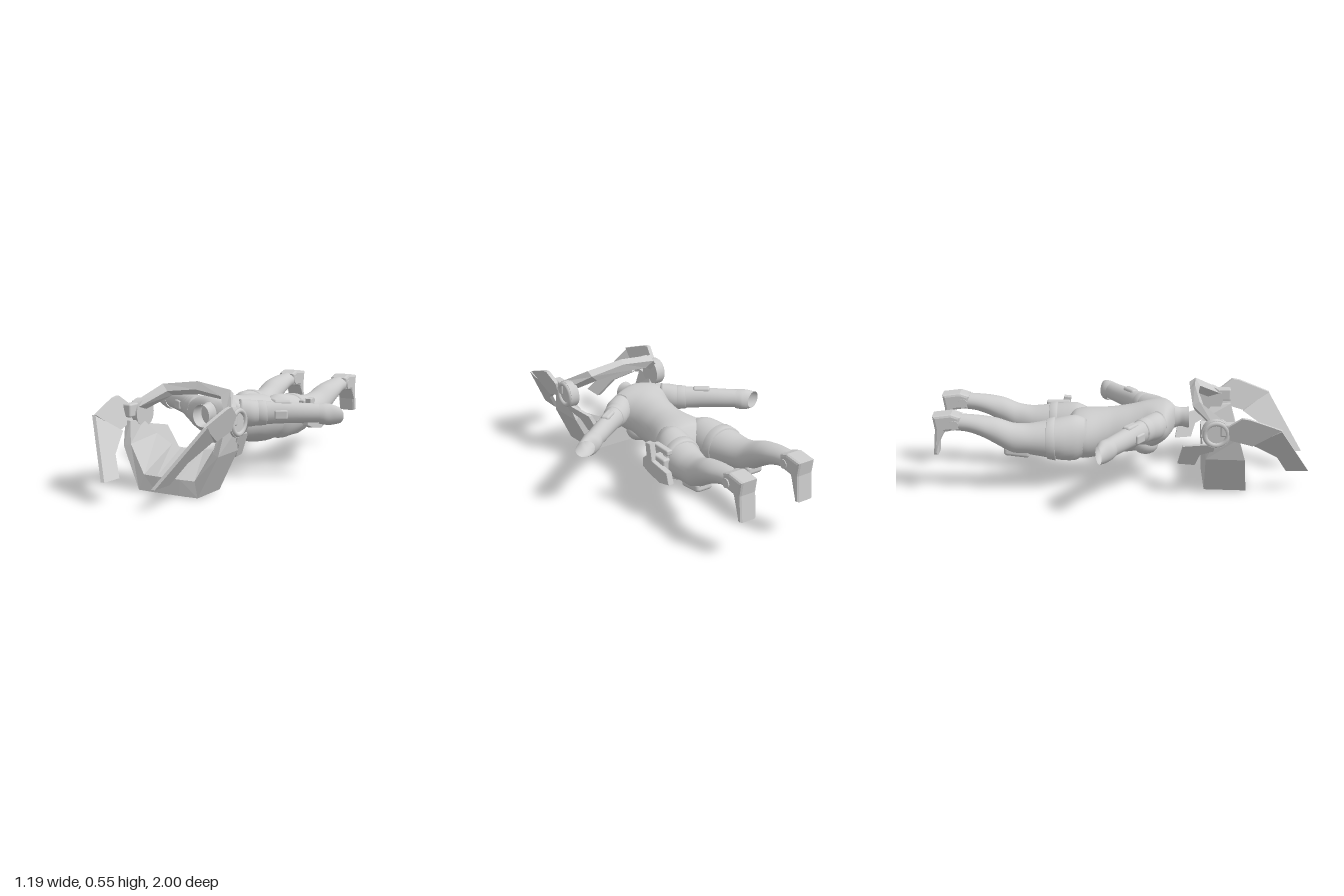
import * as THREE from 'three';
import { RoundedBoxGeometry } from 'three/addons/geometries/RoundedBoxGeometry.js';

const grey = new THREE.MeshStandardMaterial({ color: 0xcccccc, side: THREE.DoubleSide });
grey.name = 'plain grey';

const DOWN_BODY = new THREE.Vector3(0, 0, -1);
const ARM = new THREE.Vector3(0.817, 0, -0.577).normalize();

// Skin a list of rings; flat gives faceted normals
function skin(rings, { capStart = true, capEnd = true, flat = false } = {}) {
  const n = rings[0].length, pos = [], idx = [];
  rings.forEach(r => r.forEach(p => pos.push(...p)));
  for (let i = 0; i < rings.length - 1; i++) {
    for (let j = 0; j < n; j++) {
      const a = i * n + j, b = i * n + (j + 1) % n, c = a + n, d = b + n;
      idx.push(a, c, b, b, c, d);
    }
  }
  const last = (rings.length - 1) * n;
  for (let j = 1; j < n - 1; j++) {
    if (capStart) idx.push(0, j, j + 1);
    if (capEnd) idx.push(last, last + j + 1, last + j);
  }
  let g = new THREE.BufferGeometry();
  g.setAttribute('position', new THREE.Float32BufferAttribute(pos, 3));
  g.setIndex(idx);
  if (flat) g = g.toNonIndexed();
  g.computeVertexNormals();
  return g;
}

// Smooth limb from sections [x, y, z, halfWidth, halfHeight, skew]
function limb(sections, dir, { steps = 4, sides = 28, ...caps } = {}) {
  const u = new THREE.Vector3(-dir.z, 0, dir.x);
  const centre = new THREE.CatmullRomCurve3(sections.map(s => new THREE.Vector3(s[0], s[1], s[2])), false, 'catmullrom', 0.4);
  const size = new THREE.CatmullRomCurve3(sections.map(s => new THREE.Vector3(s[3], s[4], s[5] || 0)), false, 'catmullrom', 0.4);
  const count = (sections.length - 1) * steps, rings = [];
  for (let i = 0; i <= count; i++) {
    const c = centre.getPoint(i / count), s = size.getPoint(i / count), ring = [];
    for (let j = 0; j < sides; j++) {
      const a = j / sides * Math.PI * 2;
      const p = c.clone().addScaledVector(u, s.x * Math.cos(a)).addScaledVector(dir, s.z * Math.cos(a));
      ring.push([p.x, p.y + s.y * Math.sin(a), p.z]);
    }
    rings.push(ring);
  }
  return skin(rings, caps);
}

// Section from [z, centreX, halfWidth, bottom, top]
const span = ([z, x, w, b, t]) => [x, (b + t) / 2, z, w, (t - b) / 2];

// Side profile of [z, y] points, extruded across x and sheared by a rule
function panel(points, thick, xAt, bevel = 0) {
  const shape = new THREE.Shape(points.map(([z, y]) => new THREE.Vector2(-z, y)));
  const g = new THREE.ExtrudeGeometry(shape, {
    depth: thick, bevelEnabled: bevel > 0, bevelSize: bevel, bevelThickness: bevel, bevelOffset: -bevel, bevelSegments: 2,
  });
  const p = g.attributes.position;
  for (let i = 0; i < p.count; i++) {
    const z = -p.getX(i), y = p.getY(i);
    p.setXYZ(i, xAt(y, z) - thick / 2 + p.getZ(i), y, z);
  }
  g.computeVertexNormals();
  return g;
}

function rounded(w, h, d, r, x, y, z, rotY = 0, rotX = 0) {
  return new RoundedBoxGeometry(w, h, d, 2, r).rotateX(rotX).rotateY(rotY).translate(x, y, z);
}

function disc(r, depth, x, y, z, sides = 24) {
  return new THREE.CylinderGeometry(r, r, depth, sides).rotateZ(Math.PI / 2).translate(x, y, z);
}

// Mirror a geometry across x, keeping faces outward
function mirrored(g) {
  const m = g.clone().scale(-1, 1, 1);
  const src = m.index ? Array.from(m.index.array) : Array.from({ length: m.attributes.position.count }, (_, i) => i);
  for (let i = 0; i < src.length; i += 3) [src[i + 1], src[i + 2]] = [src[i + 2], src[i + 1]];
  m.setIndex(src);
  return m;
}

// Full band from stations listed from the centre outwards to +x
function band(half) {
  const other = half.slice(half[0][0][0] === 0 ? 1 : 0).reverse().map(s => s.map(([x, y, z]) => [-x, y, z]));
  return skin([...other, ...half], { flat: true });
}

export function createModel() {
  const model = new THREE.Group();
  model.name = 'suitAndHelmet';
  const add = (name, g, parent = model) => {
    const m = new THREE.Mesh(g, grey);
    m.name = name;
    parent.add(m);
    return m;
  };
  const pair = (name, g, parent) => {
    add(name + 'Left', g, parent);
    add(name + 'Right', mirrored(g), parent);
  };

  // Body, lying face down
  const body = new THREE.Group();
  body.name = 'body';
  model.add(body);
  add('torso', limb([
    [0.285, 0, 0.045, 0.31, 0.42], [0.265, 0, 0.1, 0.28, 0.44], [0.23, 0, 0.18, 0.25, 0.452],
    [0.18, 0, 0.19, 0.215, 0.452], [0.12, 0, 0.145, 0.185, 0.445], [0.05, 0, 0.128, 0.17, 0.43],
    [-0.05, 0, 0.125, 0.16, 0.415], [-0.12, 0, 0.142, 0.146, 0.41], [-0.2, 0, 0.175, 0.136, 0.405],
    [-0.26, 0, 0.175, 0.145, 0.39], [-0.3, 0, 0.13, 0.18, 0.34], [-0.32, 0, 0.06, 0.22, 0.29],
  ].map(span), DOWN_BODY, { sides: 36 }), body);
  add('neck', limb([
    [0.36, 0, 0.05, 0.3, 0.418], [0.34, 0, 0.045, 0.305, 0.415], [0.31, 0, 0.04, 0.31, 0.415], [0.26, 0, 0.055, 0.29, 0.43],
  ].map(span), DOWN_BODY, { capStart: false }), body);
  pair('chest', new THREE.SphereGeometry(1, 24, 16).scale(0.065, 0.055, 0.07).translate(0.062, 0.228, 0.125), body);

  // Legs with bands, knee pads and boots
  pair('leg', limb([
    [-0.19, 0.095, 0.07, 0.19, 0.38], [-0.25, 0.105, 0.1, 0.155, 0.403], [-0.32, 0.12, 0.11, 0.16, 0.397],
    [-0.4, 0.135, 0.105, 0.182, 0.383], [-0.5, 0.15, 0.09, 0.205, 0.37], [-0.58, 0.165, 0.077, 0.215, 0.38],
    [-0.66, 0.174, 0.072, 0.265, 0.41], [-0.74, 0.177, 0.068, 0.312, 0.424], [-0.82, 0.177, 0.056, 0.34, 0.432],
    [-0.92, 0.178, 0.046, 0.35, 0.438],
  ].map(span), DOWN_BODY), body);
  pair('thighBand', limb([
    [-0.355, 0.128, 0.105, 0.17, 0.38], [-0.36, 0.129, 0.114, 0.162, 0.398],
    [-0.4, 0.135, 0.112, 0.174, 0.392], [-0.405, 0.136, 0.1, 0.185, 0.38],
  ].map(span), DOWN_BODY, { steps: 1 }), body);
  pair('kneePad', rounded(0.1, 0.05, 0.14, 0.018, 0.162, 0.228, -0.56, 0, 0.12), body);
  pair('boot', panel([
    [-0.85, 0.43], [-0.9, 0.447], [-1, 0.435], [-0.988, 0.36], [-1, 0.22],
    [-0.975, 0.22], [-0.97, 0.29], [-0.935, 0.35], [-0.86, 0.36],
  ], 0.075, () => 0.177, 0.014), body);
  pair('ankleDisc', disc(0.025, 0.114, 0.178, 0.39, -0.885, 16), body);

  // Arms with cuffs and open wrists
  pair('arm', limb([
    [0.13, 0.36, 0.19, 0.06, 0.075], [0.18, 0.36, 0.15, 0.068, 0.07], [0.23, 0.36, 0.104, 0.055, 0.062],
    [0.3, 0.36, 0.054, 0.049, 0.058], [0.4, 0.357, -0.017, 0.048, 0.053], [0.48, 0.355, -0.073, 0.044, 0.05],
  ], ARM, { capEnd: false }), body);
  pair('upperArmCuff', limb([
    [0.2, 0.36, 0.127, 0.056, 0.06], [0.204, 0.36, 0.124, 0.064, 0.068],
    [0.238, 0.36, 0.1, 0.06, 0.065], [0.242, 0.36, 0.097, 0.052, 0.058],
  ], ARM, { steps: 1 }), body);
  pair('wristCuff', limb([
    [0.465, 0.352, -0.062, 0.05, 0.053], [0.49, 0.35, -0.08, 0.052, 0.057],
    [0.515, 0.348, -0.097, 0.046, 0.057, 0.008], [0.548, 0.345, -0.116, 0.042, 0.046, 0.03],
  ], ARM, { capStart: false, capEnd: false }), body);
  pair('forearmPlate', rounded(0.095, 0.03, 0.046, 0.013, 0.308, 0.41, 0.045, 0.615), body);
  pair('forearmSidePad', rounded(0.07, 0.05, 0.02, 0.009, 0.328, 0.355, 0.095, 0.615), body);

  // Holstered sidearm on the left thigh
  add('holsterMount', rounded(0.05, 0.09, 0.1, 0.01, 0.245, 0.28, -0.37), body);
  add('sidearm', panel([
    [-0.265, 0.285], [-0.3, 0.315], [-0.29, 0.385], [-0.33, 0.39], [-0.35, 0.3],
    [-0.48, 0.285], [-0.5, 0.225], [-0.42, 0.205], [-0.32, 0.22], [-0.265, 0.24],
  ], 0.026, () => 0.278, 0.004), body);
  add('holsterStrap', rounded(0.035, 0.03, 0.13, 0.008, 0.235, 0.36, -0.36), body);

  // Open helmet frame
  const helmet = new THREE.Group();
  helmet.name = 'helmet';
  model.add(helmet);
  add('jawGuard', band([
    [[0.07, 0.004, 0.668], [0.07, 0.085, 0.66], [0.07, 0.2, 0.44], [0.07, 0.004, 0.44]],
    [[0.18, 0.004, 0.665], [0.155, 0.085, 0.655], [0.13, 0.21, 0.44], [0.165, 0.004, 0.44]],
    [[0.288, 0.22, 0.645], [0.25, 0.23, 0.635], [0.225, 0.26, 0.44], [0.275, 0.22, 0.44]],
    [[0.302, 0.345, 0.61], [0.27, 0.345, 0.61], [0.265, 0.335, 0.5], [0.3, 0.335, 0.49]],
  ]), helmet);
  add('chinPlate', new THREE.BoxGeometry(0.22, 0.008, 0.2).translate(0, 0.004, 0.555), helmet);
  add('headBand', band([
    [[0, 0.545, 0.39], [0, 0.522, 0.365], [0, 0.475, 0.375], [0, 0.505, 0.412]],
    [[0.21, 0.518, 0.405], [0.205, 0.495, 0.37], [0.165, 0.458, 0.382], [0.165, 0.485, 0.428]],
    [[0.305, 0.425, 0.55], [0.3, 0.41, 0.48], [0.262, 0.39, 0.48], [0.262, 0.41, 0.545]],
  ]), helmet);
  pair('earDisc', disc(0.075, 0.05, 0.287, 0.372, 0.49), helmet);
  pair('earRim', new THREE.TorusGeometry(0.06, 0.013, 8, 24).rotateY(Math.PI / 2).translate(0.311, 0.372, 0.49), helmet);
  pair('earBracket', rounded(0.05, 0.07, 0.1, 0.01, 0.295, 0.395, 0.56), helmet);

  // Folding cheek blades in front, small plates behind
  pair('upperBlade', panel([
    [0.55, 0.42], [0.62, 0.472], [0.66, 0.465], [0.83, 0.4], [0.68, 0.305], [0.56, 0.34],
  ], 0.022, (y, z) => 0.2 + 0.3 * y + 0.02 * (z - 0.6)), helmet);
  pair('lowerBlade', panel([
    [0.825, 0.4], [0.68, 0.305], [0.82, 0.215], [0.88, 0.11], [1, 0.11],
  ], 0.022, y => 0.08 + 0.64 * y), helmet);
  pair('rearPlate', panel([
    [0.48, 0.315], [0.32, 0.285], [0.295, 0.17], [0.385, 0.17], [0.41, 0.24], [0.48, 0.27],
  ], 0.022, (y, z) => 0.285 + 0.4 * (y - 0.3) + 0.22 * (z - 0.45)), helmet);

  return model;
}
